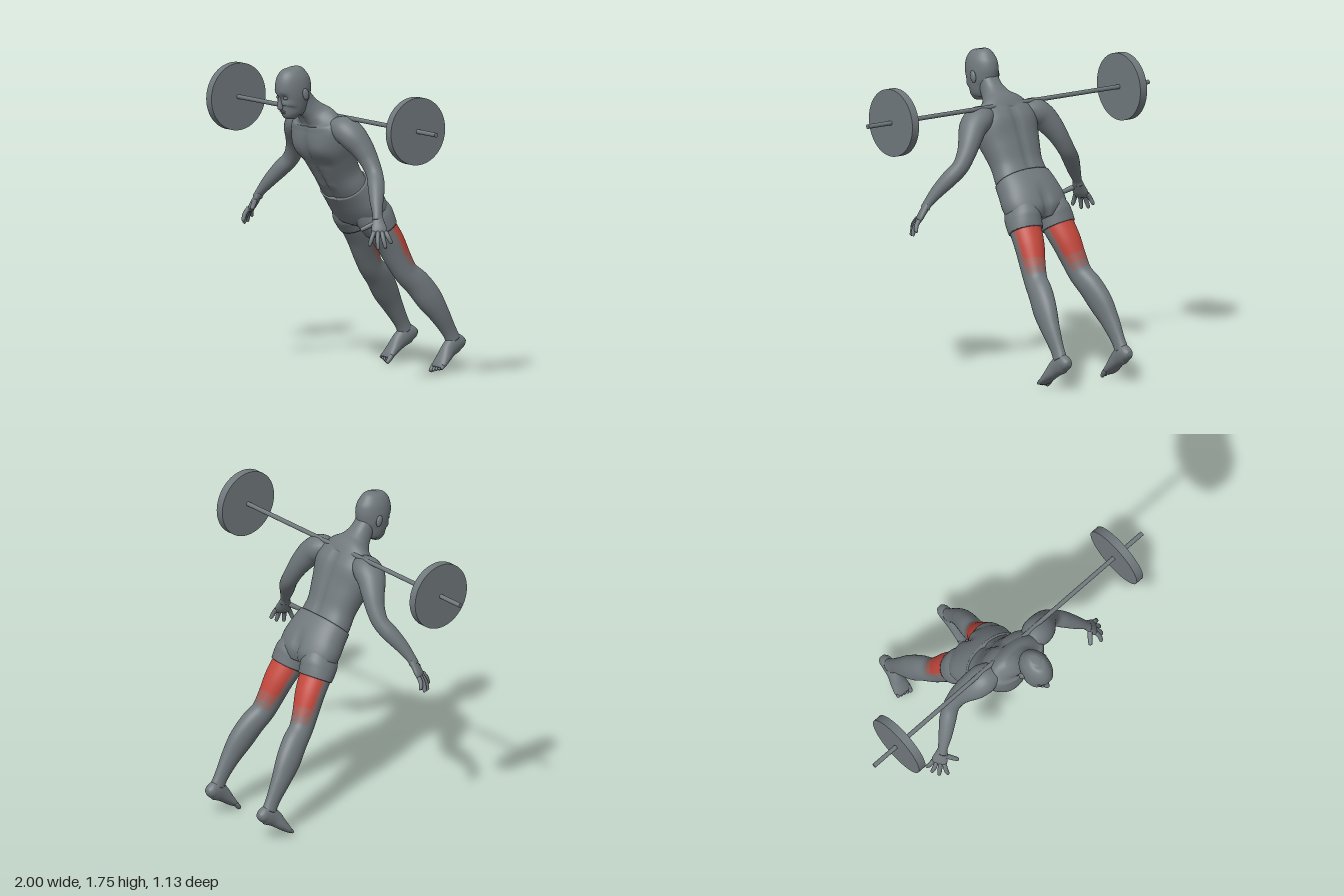
import * as THREE from 'three';

const mat = (name, color) => Object.assign(new THREE.MeshStandardMaterial({ color }), { name });
const V = (x, y, z) => new THREE.Vector3(x, y, z);
const bump = (p, x, y, z, r) => Math.exp(-((p.x - x) ** 2 + (p.y - y) ** 2 + (p.z - z) ** 2) / (r * r));
const clamp = (v) => Math.min(1, Math.max(0, v));

// Smooth skin through rings [x, y, z, halfWidth, halfDepth]; "front" is the depth direction
function loft(rings, { front = V(0, 0, 1), n = 28, steps = 5, square = 2, push, paint } = {}) {
  const rows = [];
  for (let i = 0; i < rings.length - 1; i++) {
    const [a, b, c, d] = [-1, 0, 1, 2].map((k) => rings[Math.min(rings.length - 1, Math.max(0, i + k))]);
    for (let s = 0; s < steps + (i === rings.length - 2 ? 1 : 0); s++) {
      const t = s / steps;
      rows.push(b.map((_, k) => 0.5 * (2 * b[k] + (c[k] - a[k]) * t
        + (2 * a[k] - 5 * b[k] + 4 * c[k] - d[k]) * t * t
        + (3 * b[k] - a[k] - 3 * c[k] + d[k]) * t * t * t)));
    }
  }
  const closed = (r) => [r[0], r[1], r[2], 0, 0];
  const centre = (r) => V(r[0], r[1], r[2]);
  const last = rows.length - 1;
  const all = [closed(rows[0]), ...rows, closed(rows[last])];
  const pos = [];
  const buckets = [];
  all.forEach((r, i) => {
    const k = Math.min(last, Math.max(0, i - 1));
    const t = centre(rows[Math.min(last, k + 1)]).sub(centre(rows[Math.max(0, k - 1)])).normalize();
    const v = front.clone().addScaledVector(t, -front.dot(t)).normalize();
    const u = t.clone().cross(v);
    for (let j = 0; j < n; j++) {
      const a = (j / n) * Math.PI * 2;
      const sq = (w) => Math.sign(w) * Math.abs(w) ** (2 / square);
      const out = u.clone().multiplyScalar(sq(Math.cos(a)) * Math.max(0, r[3]))
        .addScaledVector(v, sq(Math.sin(a)) * Math.max(0, r[4]));
      const p = centre(r).add(out);
      if (push && out.length() > 0) p.addScaledVector(out.normalize(), push(p, out));
      pos.push(p.x, p.y, p.z);
    }
  });
  for (let i = 0; i < all.length - 1; i++) {
    for (let j = 0; j < n; j++) {
      const a = i * n + j, b = a + n, d = i * n + (j + 1) % n, c = d + n;
      const m = paint ? paint(centre(all[i]), Math.sin(((j + 0.5) / n) * Math.PI * 2)) : 0;
      (buckets[m] ||= []).push(a, b, c, a, c, d);
    }
  }
  const g = new THREE.BufferGeometry();
  g.setAttribute('position', new THREE.Float32BufferAttribute(pos, 3));
  g.setIndex(buckets.flat());
  let start = 0;
  if (paint) buckets.forEach((list, m) => { g.addGroup(start, list.length, m); start += list.length; });
  g.computeVertexNormals();
  return g;
}

export function createModel() {
  const grey = mat('grey', 0x70787c);
  const thighPaint = [grey, mat('faintRed', 0x8a6a68), mat('paleRed', 0xa85a52), mat('red', 0xc4483d)];
  const model = new THREE.Group();
  const add = (name, geometry, material = grey, parent = model) => {
    const m = new THREE.Mesh(geometry, material);
    m.name = name;
    parent.add(m);
    return m;
  };
  const blob = (name, x, y, z, sx, sy, sz, tilt = 0) => {
    const m = add(name, new THREE.SphereGeometry(1, 20, 14));
    m.position.set(x, y, z);
    m.scale.set(sx, sy, sz);
    m.rotation.x = tilt;
  };
  const lean = V(0, -0.5, 0.866);

  // Torso and neck, with chest, belly and spine relief
  add('torso', loft([
    [0, 1.03, 0.08, 0.168, 0.1], [0, 1.085, 0.12, 0.165, 0.1], [0, 1.15, 0.16, 0.158, 0.102],
    [0, 1.235, 0.205, 0.175, 0.113], [0, 1.31, 0.245, 0.195, 0.12], [0, 1.375, 0.27, 0.2, 0.115],
    [0, 1.425, 0.288, 0.19, 0.1], [0, 1.46, 0.302, 0.15, 0.085], [0, 1.492, 0.332, 0.09, 0.07],
    [0, 1.535, 0.372, 0.062, 0.062], [0, 1.6, 0.42, 0.056, 0.056]], {
    front: lean, n: 64, steps: 7, square: 2.3,
    push: (p, o) => {
      const f = o.dot(lean), x = Math.abs(p.x), groove = Math.exp(-((p.x / 0.018) ** 2));
      const q = V(x, p.y, p.z);
      if (p.y > 1.47) return 0;
      if (f < 0) return -0.012 * groove + 0.012 * bump(q, 0.1, 1.42, 0.17, 0.08);
      let d = 0.02 * bump(q, 0.085, 1.3, 0.34, 0.07) - 0.008 * groove;
      for (const [y, z] of [[1.19, 0.27], [1.135, 0.245], [1.085, 0.225]]) d += 0.008 * bump(q, 0.04, y, z, 0.03);
      return d - 0.008 * bump(q, 0.09, 1.215, 0.29, 0.04);
    },
  }));

  // Shorts: seat part with a crease behind
  add('shorts', loft([
    [0, 1.072, 0.11, 0.176, 0.111], [0, 1.02, 0.062, 0.188, 0.117], [0, 0.957, 0.014, 0.2, 0.118],
    [0, 0.905, -0.018, 0.185, 0.11], [0, 0.865, -0.04, 0.12, 0.075]], {
    front: lean, n: 56, square: 2.2,
    push: (p, o) => (o.dot(lean) < -0.3 && p.y < 1.09
      ? -0.025 * Math.exp(-((p.x / 0.022) ** 2)) * clamp((1.08 - p.y) / 0.08) : 0),
  }));

  // Head with brow, eye sockets and cheeks
  const skull = [[1.752, 0.48, 0.43, 0.022], [1.738, 0.518, 0.39, 0.047], [1.7, 0.553, 0.36, 0.07],
    [1.65, 0.567, 0.35, 0.08], [1.6, 0.56, 0.355, 0.08], [1.565, 0.548, 0.37, 0.075],
    [1.53, 0.538, 0.385, 0.068], [1.497, 0.528, 0.42, 0.055], [1.468, 0.505, 0.445, 0.03]];
  add('head', loft(skull.map(([y, f, b, w]) => [0, y, (f + b) / 2, w, (f - b) / 2]), {
    n: 48,
    push: (p) => {
      const q = V(Math.abs(p.x), p.y, p.z);
      return -0.016 * bump(q, 0.033, 1.587, 0.548, 0.022) + 0.004 * bump(q, 0.03, 1.615, 0.555, 0.02)
        + 0.005 * bump(q, 0.05, 1.555, 0.51, 0.025) + 0.006 * bump(q, 0, 1.485, 0.52, 0.02);
    },
  }));
  add('nose', loft([[0, 1.605, 0.55, 0.006, 0.008], [0, 1.57, 0.55, 0.009, 0.012], [0, 1.54, 0.548, 0.014, 0.016],
    [0, 1.528, 0.544, 0.015, 0.013], [0, 1.521, 0.54, 0.006, 0.006]], { n: 16 }));
  blob('upperLip', 0, 1.511, 0.53, 0.024, 0.005, 0.009);
  blob('lowerLip', 0, 1.502, 0.526, 0.02, 0.005, 0.009);

  for (const s of [1, -1]) {
    const side = s > 0 ? 'left' : 'right';
    const flip = (rings) => rings.map(([x, ...r]) => [x * s, ...r]);
    const part = (name, rings, opts, material) => add(side + name, loft(flip(rings), opts), material);
    const digit = (name, a, b, r, bend = 0) => part(name, [
      [...a, r, r], [(a[0] + b[0]) / 2 + bend, (a[1] + b[1]) / 2, (a[2] + b[2]) / 2 + bend, r, r],
      [...b, r * 0.8, r * 0.8], [...b.map((v, k) => v + (v - a[k]) * 0.08), r * 0.35, r * 0.35]],
    { n: 12, steps: 3, front: V(0.3 * s, 0.2, 1) });

    blob(side + 'Ear', 0.083 * s, 1.607, 0.433, 0.012, 0.034, 0.02, 0.25);
    blob(side + 'Eye', 0.032 * s, 1.587, 0.534, 0.014, 0.009, 0.012);
    blob(side + 'Nipple', 0.105 * s, 1.275, 0.346, 0.009, 0.008, 0.009);

    // Arm from shoulder to wrist
    part('Arm', [[0.13, 1.43, 0.262, 0.045, 0.06], [0.19, 1.412, 0.25, 0.072, 0.083], [0.245, 1.375, 0.235, 0.073, 0.082],
      [0.295, 1.31, 0.205, 0.062, 0.066], [0.335, 1.245, 0.187, 0.052, 0.053], [0.38, 1.175, 0.185, 0.047, 0.045],
      [0.43, 1.117, 0.212, 0.045, 0.047], [0.485, 1.045, 0.252, 0.036, 0.038], [0.53, 0.98, 0.28, 0.024, 0.028],
      [0.545, 0.95, 0.288, 0.022, 0.03]]);

    // Hand with spread fingers
    part('Palm', [[0.532, 0.975, 0.282, 0.026, 0.021], [0.553, 0.935, 0.292, 0.036, 0.02],
      [0.572, 0.9, 0.3, 0.044, 0.018], [0.586, 0.872, 0.307, 0.038, 0.011]], { front: V(0.85 * s, 0, 0.5), n: 24 });
    [[0.63, 0.835, 0.262], [0.624, 0.812, 0.296], [0.605, 0.807, 0.333], [0.572, 0.824, 0.366]].forEach((tip, i) => {
      const k = (i - 1.5) * 0.022;
      digit('Finger' + (i + 1), [0.582 - 0.5 * k, 0.892, 0.303 + 0.85 * k], tip, 0.0125, 0.005);
    });
    digit('Thumb', [0.548, 0.94, 0.3], [0.496, 0.9, 0.362], 0.014);

    // Leg of the shorts
    part('ShortsLeg', [[0.095, 0.97, 0.02, 0.075, 0.09], [0.105, 0.9, -0.018, 0.097, 0.108],
      [0.112, 0.86, -0.04, 0.1, 0.102], [0.116, 0.822, -0.061, 0.099, 0.092]], { front: V(0, -0.55, 0.84), n: 40 });

    // Leg, with the back of the thigh tinted and fading out
    part('Leg', [[0.113, 0.86, -0.04, 0.088, 0.085], [0.116, 0.825, -0.06, 0.09, 0.085],
      [0.13, 0.745, -0.11, 0.083, 0.081], [0.146, 0.65, -0.155, 0.069, 0.075], [0.16, 0.57, -0.2, 0.062, 0.07],
      [0.178, 0.505, -0.265, 0.062, 0.076], [0.198, 0.42, -0.328, 0.057, 0.077], [0.211, 0.33, -0.39, 0.045, 0.06],
      [0.216, 0.235, -0.45, 0.033, 0.045], [0.218, 0.18, -0.48, 0.034, 0.045]], {
      front: V(0, -0.55, 0.84), n: 64, steps: 8,
      paint: (c, sin) => {
        const along = clamp((c.y * 0.84 + c.z * 0.55 - 0.375) / 0.14);
        return Math.round(3 * along * clamp((-sin + 0.05) / 0.45));
      },
    }, thighPaint);

    // Foot and toes, pointing down
    part('Foot', [[0.215, 0.17, -0.556, 0.016, 0.014], [0.216, 0.167, -0.535, 0.032, 0.036],
      [0.217, 0.16, -0.495, 0.037, 0.055], [0.221, 0.128, -0.447, 0.039, 0.047], [0.227, 0.088, -0.408, 0.046, 0.034],
      [0.231, 0.052, -0.373, 0.05, 0.022], [0.232, 0.035, -0.357, 0.045, 0.014]], { front: V(0, 1, 0), n: 32 });
    for (let i = 0; i < 5; i++) {
      const x = 0.193 + i * 0.0195;
      digit('Toe' + (i + 1), [x, 0.052, -0.371], [x + 0.003, 0.016 + i * 0.0045, -0.34 - i * 0.004], i ? 0.0095 : 0.014);
    }
  }

  // Barbell across the upper back
  const barbell = new THREE.Group();
  barbell.name = 'barbell';
  barbell.position.set(0, 1.472, 0.233);
  barbell.rotation.z = Math.PI / 2;
  model.add(barbell);
  add('bar', new THREE.CylinderGeometry(0.0125, 0.0125, 2, 24), grey, barbell);
  for (const s of [1, -1]) {
    add(s > 0 ? 'rightPlate' : 'leftPlate', new THREE.CylinderGeometry(0.187, 0.187, 0.047, 64), grey, barbell)
      .position.y = 0.812 * s;
  }
  barbell.children[1].name = 'leftPlate';
  barbell.children[2].name = 'rightPlate';
  barbell.rotation.z = -Math.PI / 2;
  return model;
}
